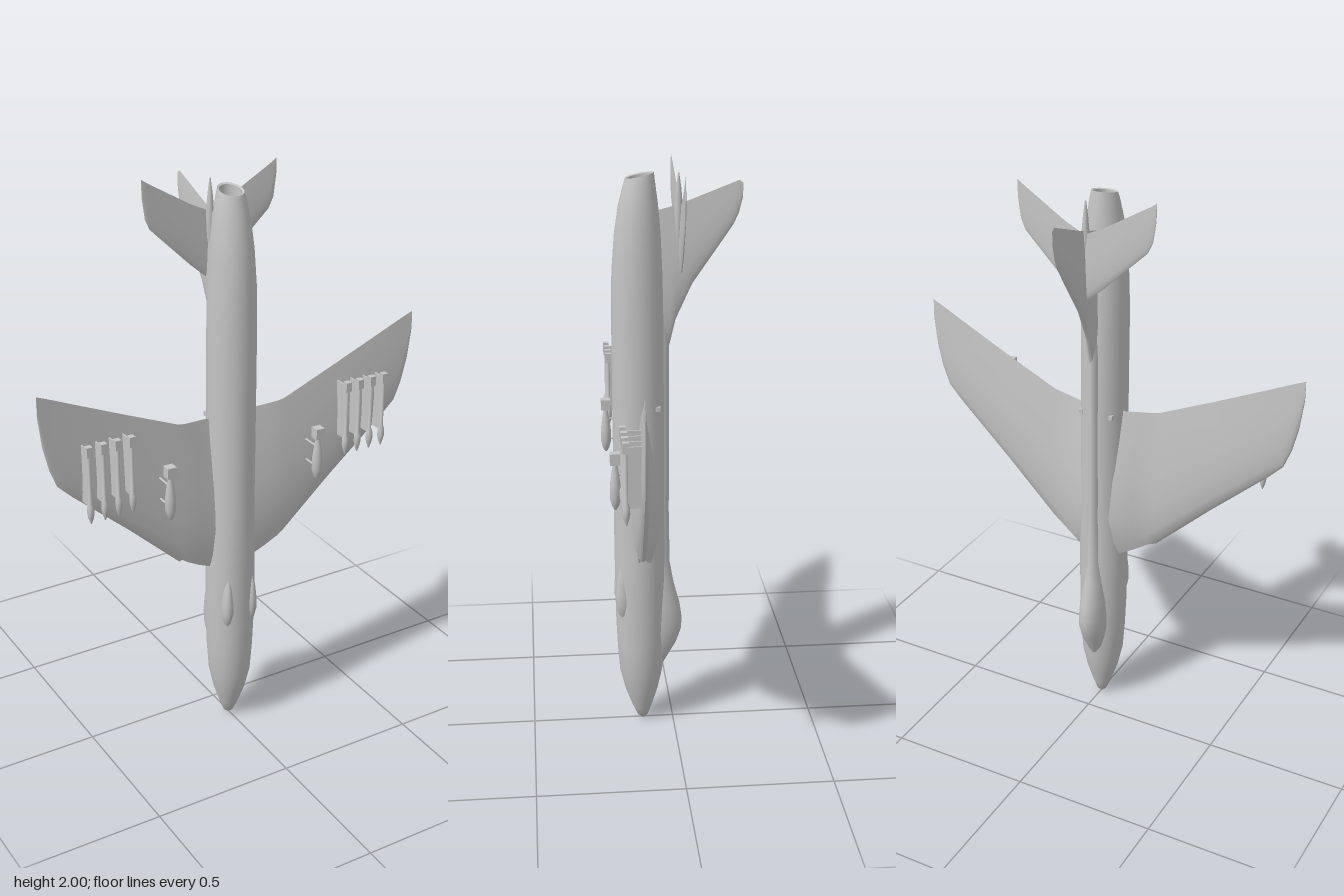
import * as THREE from 'three';
import { toCreasedNormals } from 'three/addons/utils/BufferGeometryUtils.js';

const metal = new THREE.MeshStandardMaterial({ color: 0xc4c4c4 });
metal.name = 'bare metal grey';

function part(name, geometry, parent) {
  const mesh = new THREE.Mesh(geometry, metal);
  mesh.name = name;
  parent.add(mesh);
  return mesh;
}

// Skin closed rings of [x, y, z] points, cap both ends, and face the skin outward.
function loft(rings, crease = 0.7) {
  const n = rings[0].length;
  const v = rings.flat();
  const tris = [];
  for (let i = 0; i < rings.length - 1; i++) {
    for (let j = 0; j < n; j++) {
      const a = i * n + j, b = i * n + (j + 1) % n;
      tris.push([a, b, a + n], [b, b + n, a + n]);
    }
  }
  for (const [ring, start, flip] of [[rings[0], 0, true], [rings.at(-1), v.length - n, false]]) {
    const centre = [0, 1, 2].map(k => ring.reduce((sum, p) => sum + p[k], 0) / n);
    const c = v.push(centre) - 1;
    for (let j = 0; j < n; j++) {
      const a = start + j, b = start + (j + 1) % n;
      tris.push(flip ? [b, a, c] : [a, b, c]);
    }
  }
  const pts = v.map(p => new THREE.Vector3(...p));
  const volume = tris.reduce((s, [a, b, c]) => s + pts[a].dot(pts[b].clone().cross(pts[c])), 0);
  if (volume < 0) tris.forEach(t => t.reverse());
  const geo = new THREE.BufferGeometry().setFromPoints(pts);
  geo.setIndex(tris.flat());
  // Creasing is done at a larger scale so that small details stay distinct.
  geo.scale(100, 100, 100);
  return toCreasedNormals(geo, crease).scale(0.01, 0.01, 0.01);
}

// Body along y from stations [y, z centre, half width, half depth, tilt].
function body(stations, x = 0, sides = 32, crease = 0.7) {
  return loft(stations.map(([y, zc, hx, hz, tilt = 0]) =>
    Array.from({ length: sides }, (_, j) => {
      const a = j / sides * Math.PI * 2;
      const dz = hz * Math.sin(a);
      return [x + hx * Math.cos(a), y - tilt * dz, zc + dz];
    })), crease);
}

// Aerofoil ring as [chord y, offset]; a notch hollows out the leading edge.
const FOIL = [[0.03, 0.42], [0.12, 0.75], [0.3, 1], [0.55, 0.8], [0.8, 0.4], [1, 0.03]];
function foil(lead, trail, up, down, notch = 0) {
  const at = f => lead + (trail - lead) * f;
  return [
    [at(notch), 0],
    ...FOIL.map(([f, t]) => [at(f), -up * t]),
    ...FOIL.map(([f, t]) => [at(f), down * t]).reverse(),
  ];
}

// Rod running along z.
function rod(x, y, z0, z1, r) {
  return new THREE.CylinderGeometry(r, r, z1 - z0, 8)
    .rotateX(Math.PI / 2).translate(x, y, (z0 + z1) / 2);
}

function box(w, h, d, x, y, z) {
  return new THREE.BoxGeometry(w, h, d).translate(x, y, z);
}

// Wing stations: x, leading y, trailing y, z, rise above, depth below, intake notch
const WING = [
  [0.03, 0.61, 1.2, 0.1, 0.055, 0.045, 0.1],
  [0.08, 0.625, 1.2, 0.103, 0.05, 0.043, 0.1],
  [0.13, 0.65, 1.205, 0.112, 0.035, 0.036, 0.1],
  [0.18, 0.68, 1.21, 0.12, 0.028, 0.03, 0.06],
  [0.205, 0.7, 1.215, 0.122, 0.028, 0.027],
  [0.4, 0.885, 1.3, 0.13, 0.024, 0.019],
  [0.6, 1.065, 1.39, 0.14, 0.014, 0.009],
  [0.65, 1.115, 1.413, 0.143, 0.011, 0.006],
  [0.675, 1.18, 1.424, 0.144, 0.009, 0.005],
  [0.694, 1.26, 1.432, 0.145, 0.006, 0.004],
  [0.706, 1.36, 1.437, 0.146, 0.002, 0.002],
];

// Tailplane stations: x, leading y, trailing y, z, half thickness
const TAILPLANE = [
  [0, 1.63, 1.86, -0.028, 0.008],
  [0.07, 1.69, 1.893, -0.026, 0.007],
  [0.22, 1.835, 1.982, -0.019, 0.004],
  [0.236, 1.87, 1.992, -0.018, 0.003],
  [0.246, 1.94, 2, -0.018, 0.001],
];

// Fin stations: z, leading y, trailing y, half thickness
const FIN = [
  [0.05, 1.38, 1.85, 0.018], [0.01, 1.4, 1.86, 0.016], [-0.01, 1.485, 1.865, 0.013],
  [-0.065, 1.605, 1.885, 0.01], [-0.2, 1.8, 1.937, 0.006], [-0.218, 1.84, 1.944, 0.004],
  [-0.23, 1.89, 1.935, 0.001],
];

function addStores(s, parent) {
  // Bomb with a boxed tail, hung on two rods
  const bx = s * 0.285;
  const bomb = new THREE.Group();
  bomb.name = 'bomb';
  parent.add(bomb);
  part('bombBody', body([
    [0.927, 0.213, 0.003, 0.003], [0.94, 0.213, 0.011, 0.011], [0.965, 0.213, 0.018, 0.018],
    [1.01, 0.213, 0.018, 0.018], [1.05, 0.213, 0.013, 0.013], [1.09, 0.213, 0.006, 0.006],
    [1.12, 0.213, 0.005, 0.005],
  ], bx, 14), bomb);
  part('bombTail', box(0.032, 0.038, 0.032, bx, 1.104, 0.213), bomb);
  for (const y of [0.975, 1.05]) part('bombRod', rod(bx, y, 0.135, 0.205, 0.004), bomb);

  // Four rockets on thin rails
  for (let i = 0; i < 4; i++) {
    const x = s * (0.412 + i * 0.05);
    const rocket = new THREE.Group();
    rocket.name = 'rocket';
    parent.add(rocket);
    part('rocketBody', body([
      [0.983, 0.195, 0.002, 0.002], [1.005, 0.195, 0.009, 0.009], [1.02, 0.195, 0.012, 0.012],
      [1.045, 0.195, 0.011, 0.011], [1.06, 0.195, 0.006, 0.006], [1.25, 0.195, 0.006, 0.006],
    ], x, 12), rocket);
    part('rocketTail', box(0.021, 0.034, 0.021, x, 1.238, 0.195), rocket);
    part('rocketRail', box(0.005, 0.2, 0.06, x, 1.14, 0.165), rocket);
  }
}

export function createModel() {
  const model = new THREE.Group();
  model.name = 'jetAircraft';

  // Fuselage, nose down, ending in a hollow slanted exhaust
  part('fuselage', body([
    [0, 0.107, 0.005, 0.005], [0.012, 0.108, 0.018, 0.018], [0.05, 0.11, 0.033, 0.034],
    [0.12, 0.112, 0.056, 0.058], [0.2, 0.113, 0.073, 0.076], [0.3, 0.113, 0.08, 0.083],
    [0.42, 0.114, 0.084, 0.087], [0.65, 0.115, 0.085, 0.088], [0.85, 0.116, 0.079, 0.088],
    [1.2, 0.116, 0.08, 0.088], [1.5, 0.117, 0.08, 0.087], [1.65, 0.117, 0.078, 0.084],
    [1.78, 0.115, 0.07, 0.076], [1.87, 0.112, 0.06, 0.065], [1.94, 0.109, 0.048, 0.052, 0.15],
    [1.965, 0.107, 0.041, 0.047, 0.2], [1.962, 0.107, 0.035, 0.041, 0.2],
    [1.85, 0.105, 0.032, 0.036], [1.78, 0.105, 0.008, 0.008],
  ]), model);

  // Canopy running back into a narrow spine
  part('canopyAndSpine', body([
    [0.21, 0.05, 0.012, 0.012], [0.25, 0.05, 0.032, 0.033], [0.3, 0.05, 0.044, 0.062],
    [0.35, 0.05, 0.05, 0.08], [0.39, 0.05, 0.05, 0.083], [0.45, 0.05, 0.047, 0.075],
    [0.53, 0.05, 0.036, 0.054], [0.61, 0.05, 0.026, 0.04], [0.8, 0.05, 0.023, 0.037],
    [1.4, 0.05, 0.021, 0.038], [1.6, 0.05, 0.012, 0.03],
  ], 0, 24), model);

  part('fin', loft(FIN.map(([z, lead, trail, t]) =>
    foil(lead, trail, t, t).map(([y, x]) => [x, y, z]))), model);

  // Slim fairing where fin and tailplane meet
  part('tailFairing', body([
    [1.72, -0.02, 0.003, 0.003], [1.78, -0.02, 0.011, 0.012], [1.86, -0.02, 0.013, 0.014],
    [1.92, -0.02, 0.008, 0.009], [1.97, -0.02, 0.002, 0.002],
  ], 0, 14), model);

  for (const s of [1, -1]) {
    const side = new THREE.Group();
    side.name = s > 0 ? 'leftSide' : 'rightSide';
    model.add(side);

    part('wing', loft(WING.map(([x, lead, trail, z, up, down, notch]) =>
      foil(lead, trail, up, down, notch).map(([y, dz]) => [s * x, y, z + dz]))), side);

    part('tailplane', loft(TAILPLANE.map(([x, lead, trail, z, t]) =>
      foil(lead, trail, t, t).map(([y, dz]) => [s * x, y, z + dz]))), side);

    // Teardrop blister under the nose
    part('bellyBlister', body([
      [0.418, 0.175, 0.004, 0.005], [0.435, 0.175, 0.013, 0.017], [0.47, 0.175, 0.02, 0.027],
      [0.51, 0.175, 0.02, 0.028], [0.57, 0.175, 0.013, 0.022], [0.62, 0.175, 0.003, 0.008],
    ], s * 0.047, 16), side);

    // Small scoop on the upper flank
    part('scoop', box(0.014, 0.016, 0.018, s * 0.057, 1.192, 0.055), side);

    addStores(s, side);
  }
  return model;
}
